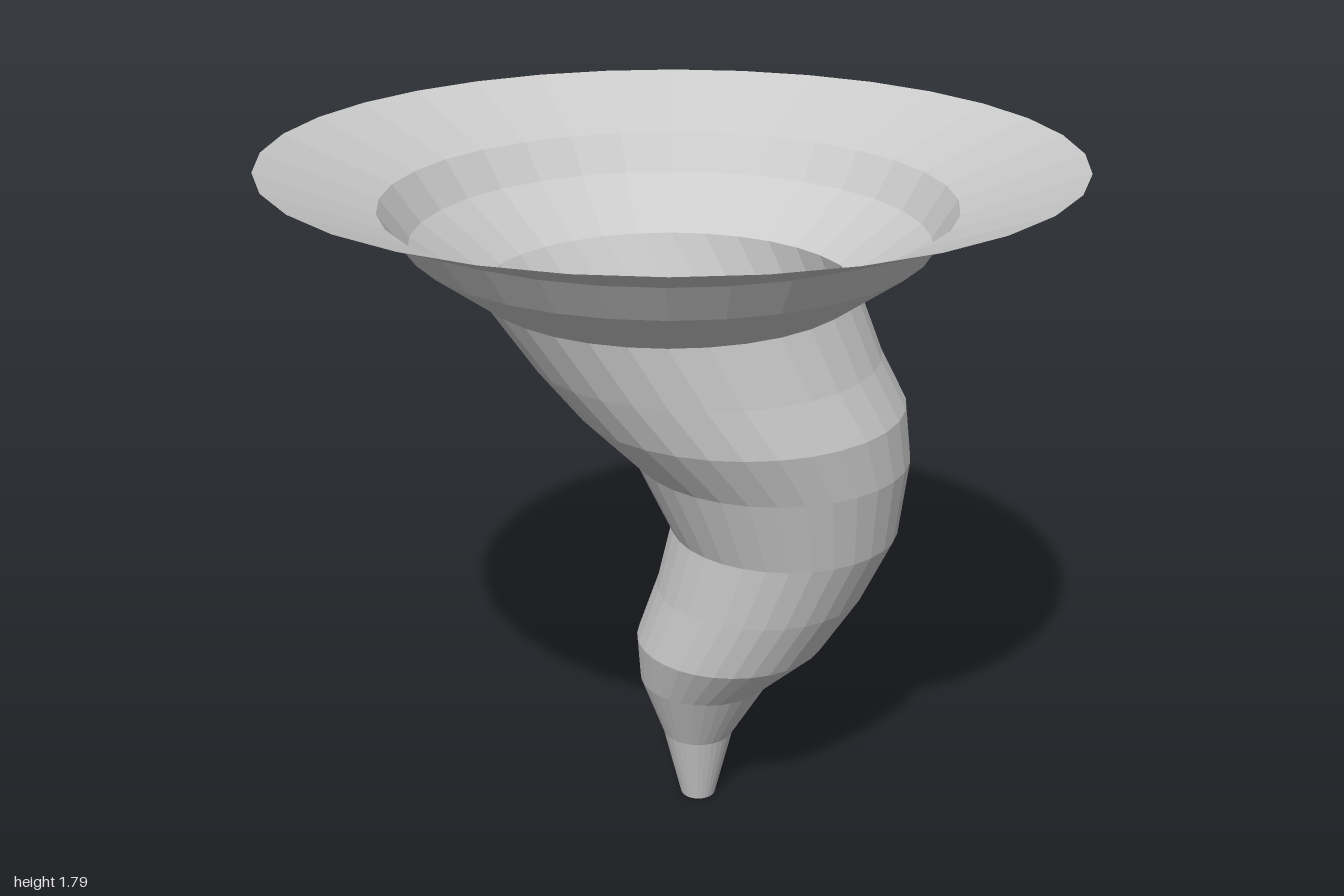
import * as THREE from 'three';

// Horizontal rings from the tip up: [height, radius, sideways shift of the centre]
const RINGS = [
  [0, 0.047, 0.074],
  [0.2, 0.095, 0.073],
  [0.37, 0.175, 0.092],
  [0.5, 0.25, 0.16],
  [0.66, 0.273, 0.237],
  [0.835, 0.293, 0.297],
  [1.035, 0.353, 0.26],
  [1.175, 0.421, 0.175],
  [1.3, 0.444, 0.085],
  [1.46, 0.472, -0.007],
  [1.585, 0.645, -0.004],
  [1.68, 0.71, -0.009],
  [1.795, 1, 0],
];
const SIDES = 32;

// Turn a run of rings into a faceted surface, sliding each ring sideways
function bentLathe(rings) {
  const profile = rings.map(([y, r]) => new THREE.Vector2(r, y));
  const geometry = new THREE.LatheGeometry(profile, SIDES);
  const pos = geometry.attributes.position;
  for (let i = 0; i < pos.count; i++) {
    pos.setX(i, pos.getX(i) + rings[i % rings.length][2]);
  }
  const faceted = geometry.toNonIndexed();
  faceted.computeVertexNormals();
  return faceted;
}

export function createModel() {
  const model = new THREE.Group();
  model.name = 'tornado';
  const material = new THREE.MeshStandardMaterial({
    color: 0xcccccc, flatShading: true, side: THREE.DoubleSide,
  });

  const add = (name, geometry) => {
    const mesh = new THREE.Mesh(geometry, material);
    mesh.name = name;
    model.add(mesh);
    return mesh;
  };

  // Hollow, winding column and the wide rim that opens out of it
  add('funnel', bentLathe(RINGS.slice(0, 10)));
  add('flaredRim', bentLathe(RINGS.slice(9)));

  // Small disc closing the tip, facing down
  const [y, r, x] = RINGS[0];
  const tip = add('tipCap', new THREE.CircleGeometry(r, SIDES));
  tip.rotation.x = Math.PI / 2;
  tip.position.set(x, y, 0);

  return model;
}
